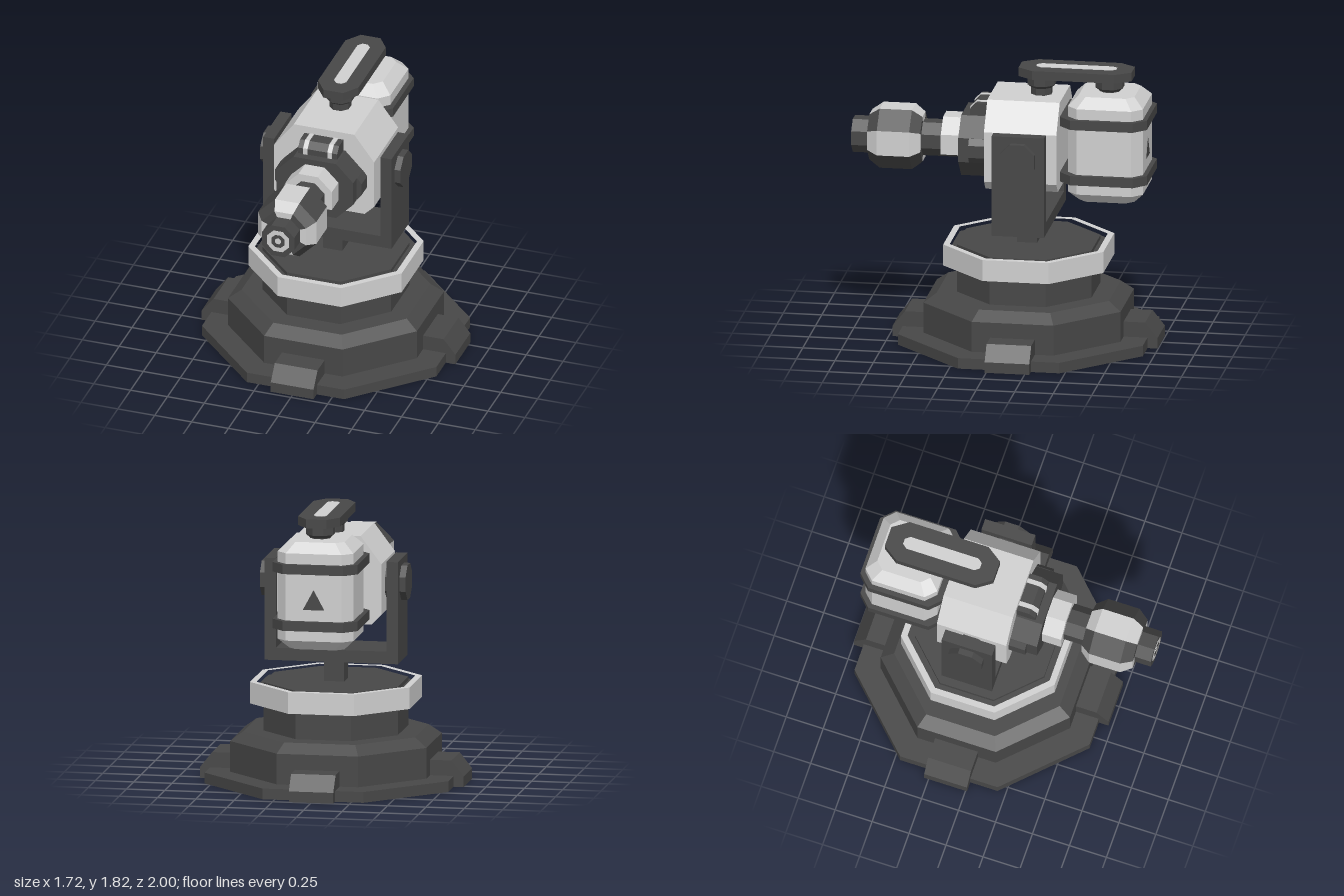
import * as THREE from 'three';

const Z0 = -0.135; // turning axis of the mount
const AXIS = 1.3; // barrel height
const K = 2 - Math.SQRT2; // chamfer of a regular octagon

export function createModel() {
  const root = new THREE.Group();
  const light = new THREE.MeshStandardMaterial({ color: 0xd0d0d0 });
  light.name = 'lightGrey';
  const dark = new THREE.MeshStandardMaterial({ color: 0x474747 });
  dark.name = 'darkGrey';

  const add = (name, geo, mat, x = 0, y = 0, z = 0, parent = root) => {
    const m = new THREE.Mesh(geo, mat);
    m.name = name;
    m.position.set(x, y, z);
    parent.add(m);
    return m;
  };

  // Chamfered rectangle, counterclockwise from above; even sides face the axes
  const oct = (hx, hz = hx, cx = hx * K, cz = cx) => [
    [hx, hz - cz], [hx, cz - hz], [hx - cx, -hz], [cx - hx, -hz],
    [-hx, cz - hz], [-hx, hz - cz], [cx - hx, hz], [hx - cx, hz]];

  // Flat-faced stack of octagons [y, hx, hz, cx, cz]; one group per side
  const loft = (...sections) => {
    const rings = sections.map(([y, ...s]) => oct(...s).map(([x, z]) => [x, y, z]));
    const pos = [];
    const geo = new THREE.BufferGeometry();
    const last = rings.length - 1;
    for (let i = 0; i < 8; i++) {
      const j = (i + 1) % 8, start = pos.length / 3;
      pos.push(0, sections[0][0], 0, ...rings[0][j], ...rings[0][i]);
      for (let k = 0; k < last; k++) {
        const a = rings[k][i], b = rings[k][j], c = rings[k + 1][j], d = rings[k + 1][i];
        pos.push(...a, ...b, ...c, ...a, ...c, ...d);
      }
      pos.push(0, sections[last][0], 0, ...rings[last][i], ...rings[last][j]);
      geo.addGroup(start, pos.length / 3 - start, i % 2);
    }
    geo.setAttribute('position', new THREE.Float32BufferAttribute(pos, 3));
    geo.computeVertexNormals();
    return geo;
  };
  const plain = (...s) => { const g = loft(...s); g.clearGroups(); return g; };
  const alongZ = (...s) => plain(...s).rotateX(Math.PI / 2);

  const shape = (pts) => new THREE.Shape(pts.map(([x, y]) => new THREE.Vector2(x, y)));
  const extrude = (s, depth) => new THREE.ExtrudeGeometry(s, { depth, bevelEnabled: false });
  const box = (x, y, z) => new THREE.BoxGeometry(x, y, z);
  const ring = (outer, inner, depth) => {
    const s = shape(oct(outer));
    s.holes.push(shape(oct(inner)));
    return extrude(s, depth);
  };

  // Stepped octagonal base
  add('basePlate', plain([0, 0.795], [0.07, 0.795]), dark, 0, 0, Z0);
  add('baseStep', plain([0.07, 0.64], [0.27, 0.64], [0.33, 0.56]), dark, 0, 0, Z0);
  add('baseNeck', plain([0.33, 0.437], [0.645, 0.437]), dark, 0, 0, Z0);
  add('turntableRing', ring(0.52, 0.48, 0.14).rotateX(-Math.PI / 2), light, 0, 0.51, Z0);
  add('turntableFloor', plain([0.515, 0.48], [0.62, 0.48]), dark, 0, 0, Z0);

  // Four sloped feet
  const footGeo = extrude(shape([[0.5, 0], [0.86, 0], [0.86, 0.07], [0.78, 0.17], [0.5, 0.17]]), 0.29)
    .translate(0, 0, -0.145);
  for (let i = 0; i < 4; i++) add('foot', footGeo, dark, 0, 0, Z0).rotation.y = i * Math.PI / 2;

  // Fork that carries the body
  add('mountPost', box(0.13, 0.17, 0.13), dark, 0, 0.715, Z0);
  add('yokeBar', box(0.72, 0.08, 0.34), dark, 0, 0.83, Z0);
  for (const s of [-1, 1]) {
    add('yokeArm', box(0.075, 0.665, 0.34), dark, s * 0.3975, 1.1225, Z0);
    add('pivotCap', plain([-0.07, 0.113], [0.07, 0.113]).rotateZ(Math.PI / 2), dark, s * 0.405, AXIS, Z0);
  }

  // Main body
  add('body', extrude(shape([[0.275, 1.055], [0.34, 1.12], [0.34, 1.45], [0.205, 1.63],
    [-0.205, 1.63], [-0.34, 1.45], [-0.34, 1.12], [-0.275, 1.055]]), 0.47), light, 0, 0, -0.37);

  // Dark collar in front with side lugs
  add('collar', alongZ([0.09, 0.26, 0.2, 0.115, 0.12], [0.28, 0.26, 0.2, 0.115, 0.12]), dark, 0, AXIS);
  add('collarLugs', alongZ([0.09, 0.293, 0.08, 0.03, 0.04], [0.21, 0.293, 0.08, 0.03, 0.04]), dark, 0, AXIS);

  // Sight block with two light stripes
  const sight = (w, e) => extrude(shape([[0.09, 1.49], [0.225 + e, 1.49], [0.225 + e, 1.54 + e],
    [0.185 + e, 1.58 + e], [0.09, 1.58 + e]]), w).translate(0, 0, -w / 2).rotateY(-Math.PI / 2);
  add('sightBlock', sight(0.265, 0), dark);
  for (const s of [-1, 1]) add('sightStripe', sight(0.03, 0.004), light, s * 0.082);

  // Barrel, sleeve and faceted bulb
  add('barrel', alongZ([0.27, 0.11], [1, 0.11]), dark, 0, AXIS);
  add('barrelSleeve', extrude(shape([[-0.16, -0.066], [0.16, -0.066], [0.16, 0.066], [0.066, 0.16],
    [-0.066, 0.16], [-0.16, 0.066]]), 0.14), light, 0, AXIS, 0.27);
  add('barrelBulb', loft([0.545, 0.15], [0.61, 0.197], [0.82, 0.197], [0.89, 0.15]).rotateX(Math.PI / 2),
    [light, dark], 0, AXIS);
  add('muzzleRing', ring(0.075, 0.045, 0.004), light, 0, AXIS, 0.998);
  add('muzzleDot', alongZ([0.998, 0.02], [1.002, 0.02]), light, 0, AXIS);

  // Rear tank with two bands and a triangle mark
  const tank = new THREE.Group();
  tank.name = 'tank';
  tank.position.z = -0.663;
  root.add(tank);
  add('tankShell', plain([0.97, 0.18, 0.18, 0.05], [1.035, 0.247, 0.243, 0.065],
    [1.605, 0.247, 0.243, 0.065], [1.67, 0.18, 0.18, 0.05]), light, 0, 0, 0, tank);
  for (const y of [1.135, 1.505])
    add('tankBand', plain([y - 0.031, 0.278, 0.283, 0.08], [y + 0.031, 0.278, 0.283, 0.08]), dark, 0, 0, 0.011, tank);
  add('tankMark', extrude(shape([[-0.07, -0.06], [0.07, -0.06], [0, 0.07]]), 0.006), dark, 0, 1.3, -0.247, tank);

  // Carrying handle on two posts
  for (const [z, y] of [[-0.22, 1.62], [-0.663, 1.66]])
    add('handlePost', plain([y, 0.065], [1.675, 0.065], [1.695, 0.088], [1.76, 0.088]), dark, 0, 0, z);
  add('handle', plain([1.755, 0.137, 0.367, 0.07, 0.1], [1.813, 0.137, 0.367, 0.07, 0.1]), dark, 0, 0, -0.447);
  add('handleInlay', plain([1.81, 0.042, 0.26, 0.024, 0.03], [1.816, 0.042, 0.26, 0.024, 0.03]), light, 0, 0, -0.447);

  return root;
}
